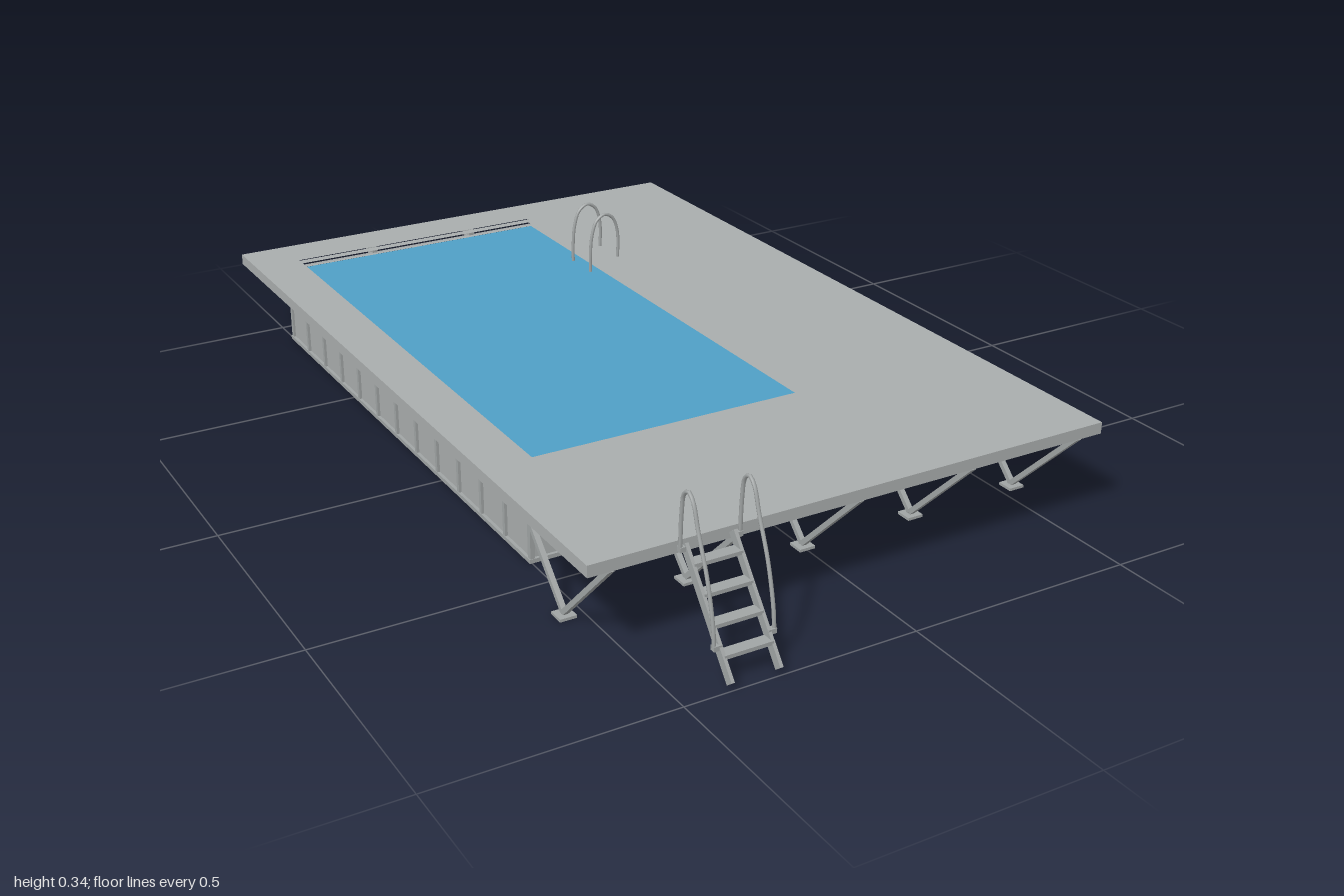
import * as THREE from 'three';

export function createModel() {
  const model = new THREE.Group();
  model.name = 'raisedPool';
  const mat = (name, color) => {
    const m = new THREE.MeshStandardMaterial({ color });
    m.name = name;
    return m;
  };
  const deckGrey = mat('deckGrey', 0xa9adad);
  const steel = mat('steel', 0xa0a4a4);
  const waterBlue = mat('waterBlue', 0x4f9fc5);
  const linerBlue = mat('linerBlue', 0x27598a);

  const group = (name) => {
    const g = new THREE.Group();
    g.name = name;
    model.add(g);
    return g;
  };
  const add = (parent, name, geo, material) => {
    const m = new THREE.Mesh(geo, material);
    m.name = name;
    parent.add(m);
    return m;
  };
  // Box given by its limits on each axis
  const box = (parent, name, x0, x1, y0, y1, z0, z1, material) => {
    const m = add(parent, name, new THREE.BoxGeometry(x1 - x0, y1 - y0, z1 - z0), material);
    m.position.set((x0 + x1) / 2, (y0 + y1) / 2, (z0 + z1) / 2);
    return m;
  };
  // Square bar between two points
  const bar = (parent, name, a, b, w = 0.011, h = w, material = steel) => {
    const p = new THREE.Vector3(...a), q = new THREE.Vector3(...b);
    const m = add(parent, name, new THREE.BoxGeometry(w, h, p.distanceTo(q)), material);
    m.position.copy(p).lerp(q, 0.5);
    m.lookAt(q);
    return m;
  };
  const tube = (parent, name, pts, r = 0.004) => {
    const curve = new THREE.CatmullRomCurve3(pts.map((p) => new THREE.Vector3(...p)));
    return add(parent, name, new THREE.TubeGeometry(curve, 40, r, 8), steel);
  };
  // Flat rectangular ring; each rectangle is [x0, x1, z0, z1]
  const ring = (parent, name, o, i, y0, y1, material) => {
    const rect = (path, [x0, x1, z0, z1]) =>
      path.moveTo(x0, -z0).lineTo(x1, -z0).lineTo(x1, -z1).lineTo(x0, -z1).closePath();
    const shape = new THREE.Shape(), hole = new THREE.Path();
    rect(shape, o);
    rect(hole, i);
    shape.holes.push(hole);
    const geo = new THREE.ExtrudeGeometry(shape, { depth: y1 - y0, bevelEnabled: false });
    geo.rotateX(-Math.PI / 2);
    add(parent, name, geo, material).position.y = y0;
  };
  const grow = ([x0, x1, z0, z1], d) => [x0 - d, x1 + d, z0 - d, z1 + d];

  const outer = [-0.59, 0.59, -1, 0.82];
  const opening = [-0.48, 0.155, -0.89, 0.39];
  const tankRect = [-0.498, 0.178, -0.913, 0.413];

  // Deck: thin top plate with a deeper rim round the edge and the opening
  const deck = group('deck');
  ring(deck, 'deckPlate', outer, opening, 0.205, 0.215, deckGrey);
  ring(deck, 'outerRim', outer, grow(outer, -0.01), 0.19, 0.205, deckGrey);
  ring(deck, 'openingRim', grow(opening, 0.022), opening, 0.19, 0.205, deckGrey);

  // Tank: walls, rails, ribs, floor and water
  const tank = group('tank');
  const [tx0, tx1, tz0, tz1] = tankRect;
  ring(tank, 'tankWalls', tankRect, grow(tankRect, -0.012), 0.002, 0.19, deckGrey);
  for (const [y0, y1] of [[0, 0.009], [0.181, 0.19]])
    ring(tank, 'tankRail', grow(tankRect, 0.007), grow(tankRect, -0.004), y0, y1, steel);
  box(tank, 'tankFloor', tx0 + 0.004, tx1 - 0.004, 0.001, 0.006, tz0 + 0.004, tz1 - 0.004, linerBlue);
  box(tank, 'water', tx0 + 0.01, tx1 - 0.01, 0.183, 0.189, tz0 + 0.01, tz1 - 0.01, waterBlue);
  for (let i = 0; i <= 6; i++) {
    const x = tx0 + (tx1 - tx0) * i / 6;
    for (const z of [tz0, tz1])
      box(tank, 'rib', x - 0.005, x + 0.005, 0.005, 0.185, z - 0.006, z + 0.006, steel);
  }
  for (let i = 1; i < 12; i++) {
    const z = tz0 + (tz1 - tz0) * i / 12;
    for (const x of [tx0, tx1])
      box(tank, 'rib', x - 0.006, x + 0.006, 0.005, 0.185, z - 0.005, z + 0.005, steel);
  }

  // V-shaped supports, joists and wall brackets
  const frame = group('supportFrame');
  const foot = (x, z) => box(frame, 'footPlate', x - 0.018, x + 0.018, 0, 0.006, z - 0.018, z + 0.018, steel);
  for (const x of [-0.538, -0.27, 0, 0.268, 0.536]) {
    foot(x, 0.628);
    bar(frame, 'frontStrut', [x, 0.008, 0.628], [x, 0.19, 0.812]);
    bar(frame, 'frontStrut', [x, 0.008, 0.628], [x, 0.19, 0.442]);
    box(frame, 'frontJoist', x - 0.007, x + 0.007, 0.184, 0.205, 0.42, 0.81, steel);
    if (x > tx0 && x < tx1) {
      bar(frame, 'backBracket', [x, 0.155, tz0], [x, 0.192, -0.96], 0.01);
      box(frame, 'backJoist', x - 0.006, x + 0.006, 0.188, 0.205, -0.99, tz0, steel);
    }
  }
  for (let i = 0; i < 6; i++) {
    const z = 0.36 - i * 0.261;
    foot(0.388, z);
    bar(frame, 'sideStrut', [0.388, 0.008, z], [0.575, 0.19, z]);
    bar(frame, 'sideStrut', [0.388, 0.008, z], [0.202, 0.19, z]);
    box(frame, 'sideJoist', 0.18, 0.58, 0.184, 0.205, z - 0.007, z + 0.007, steel);
    bar(frame, 'leftBracket', [tx0, 0.155, z], [-0.545, 0.192, z], 0.01);
    box(frame, 'leftJoist', -0.58, tx0, 0.188, 0.205, z - 0.006, z + 0.006, steel);
  }
  // Lighter joists between the main ones
  for (let z = -0.88; z < 0.4; z += 0.087)
    box(frame, 'lightJoist', 0.18, 0.58, 0.191, 0.205, z - 0.005, z + 0.005, steel);
  for (let x = -0.45; x < 0.5; x += 0.089)
    box(frame, 'lightJoist', x - 0.005, x + 0.005, 0.191, 0.205, 0.42, 0.81, steel);

  // Entry ladder at the front
  const ladder = group('entryLadder');
  for (const [x, s] of [[-0.4, -1], [-0.298, 1]]) {
    bar(ladder, 'stringer', [x, 0.01, 0.993], [x, 0.212, 0.832], 0.007, 0.02);
    const hx = x + s * 0.012;
    tube(ladder, 'handrail', [
      [hx, 0.062, 0.955], [hx, 0.105, 0.951], [hx, 0.19, 0.93], [hx, 0.27, 0.898], [hx, 0.32, 0.88],
      [hx, 0.333, 0.865], [hx, 0.322, 0.849], [hx, 0.28, 0.841], [hx, 0.205, 0.837]]);
    for (const [y, z] of [[0.066, 0.954], [0.207, 0.837]])
      box(ladder, 'handrailLug', Math.min(x, hx) - 0.003, Math.max(x, hx) + 0.003, y - 0.005, y + 0.005, z - 0.006, z + 0.006, steel);
  }
  for (let i = 0; i < 4; i++) {
    const y = 0.052 + i * 0.044, z = 0.96 - i * 0.035;
    box(ladder, 'tread', -0.4, -0.298, y - 0.004, y + 0.004, z - 0.013, z + 0.013, steel);
  }

  // Grab rails beside the water
  const rails = group('grabRails');
  for (const z of [-0.613, -0.522])
    tube(rails, 'grabRail', [
      [0.141, 0.18, z], [0.141, 0.225, z], [0.146, 0.28, z], [0.16, 0.318, z], [0.183, 0.331, z],
      [0.205, 0.318, z], [0.217, 0.285, z], [0.219, 0.25, z], [0.217, 0.21, z]]);

  return model;
}
